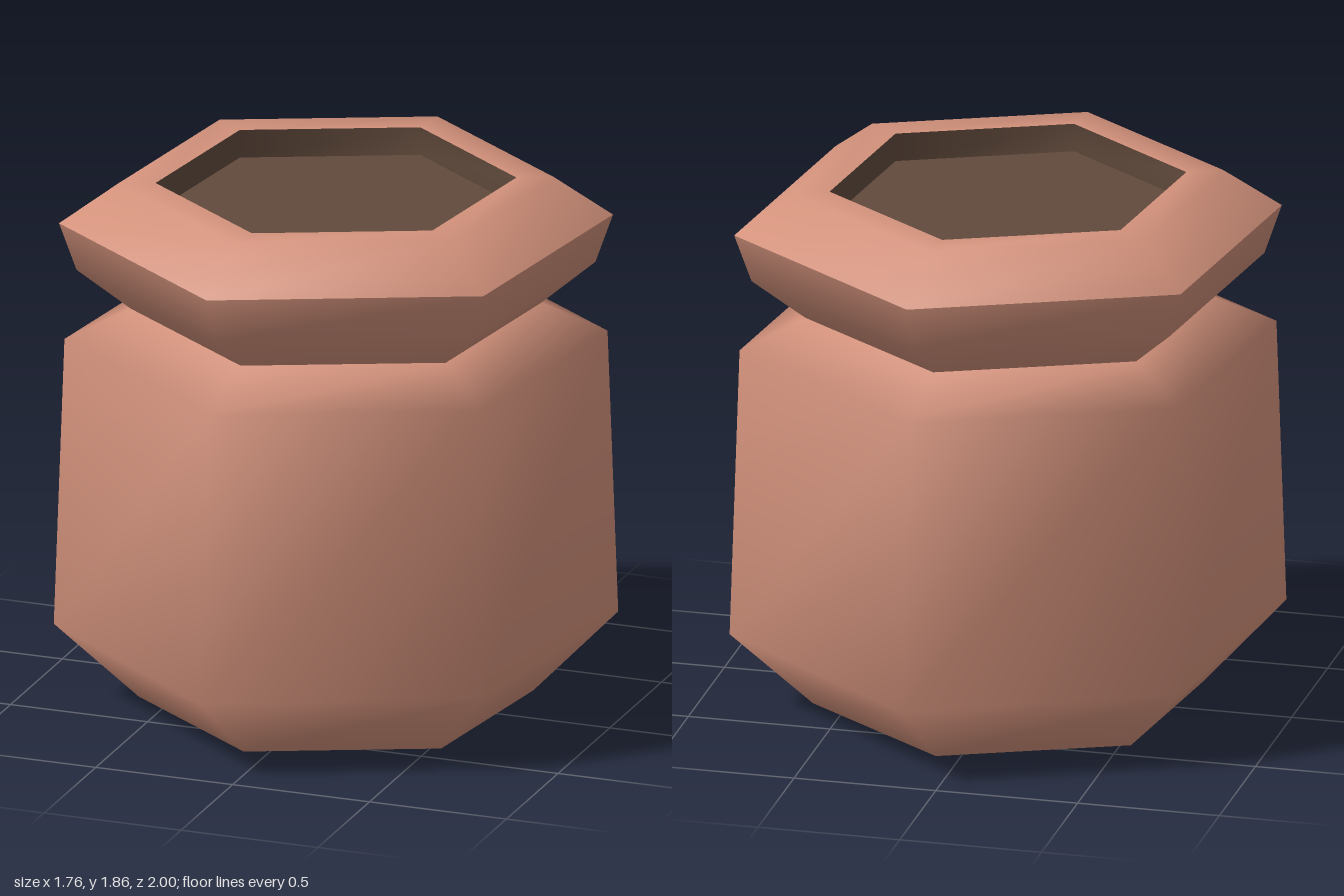
import * as THREE from 'three';

// Unit hexagon seen from above as [x, z], slightly turned, ordered front to right
const half = [[-0.136, 1], [0.864, 0.6], [1, -0.4]];
const HEX = [...half, ...half.map(([x, z]) => [-x, -z])];

function build(pos, idx) {
  const g = new THREE.BufferGeometry();
  g.setAttribute('position', new THREE.Float32BufferAttribute(pos, 3));
  g.setIndex(idx);
  g.computeVertexNormals();
  return g;
}

const ringPoints = ([y, w, d]) => HEX.flatMap(([x, z]) => [x * w, y, z * d]);

// Smooth six-sided band through rings given as [y, half width, half depth]
function band(rings) {
  const idx = [];
  for (let r = 0; r < rings.length - 1; r++) {
    for (let i = 0; i < 6; i++) {
      const a = r * 6 + i, b = r * 6 + (i + 1) % 6;
      idx.push(a, b, b + 6, a, b + 6, a + 6);
    }
  }
  return build(rings.flatMap(ringPoints), idx);
}

// Flat hexagonal face, looking up or down
function cap(ring, up) {
  const idx = [];
  for (let i = 1; i < 5; i++) idx.push(0, up ? i : i + 1, up ? i + 1 : i);
  return build(ringPoints(ring), idx);
}

export function createModel() {
  const group = new THREE.Group();
  group.name = 'pot';
  const clay = new THREE.MeshStandardMaterial({ color: 0xd2917b });
  clay.name = 'clay';
  const soil = new THREE.MeshStandardMaterial({ color: 0x614a3c });
  soil.name = 'dark soil';

  const add = (name, geometry, material) => {
    const mesh = new THREE.Mesh(geometry, material);
    mesh.name = name;
    group.add(mesh);
  };

  const base = [0, 0.62, 0.67];
  const neck = [1.405, 0.645, 0.69];
  const rimEdge = [1.72, 0.87, 0.94];
  const opening = [1.86, 0.567, 0.61];
  const floor = [1.76, 0.567, 0.61];

  // Pot body with its flat underside
  add('base', cap(base, false), clay);
  add('body', band([base, [0.275, 0.88, 1], [1.3, 0.853, 0.92], neck]), clay);

  // Flared collar and bevelled rim
  add('collar', band([neck, [1.55, 0.815, 0.88], rimEdge]), clay);
  add('rim', band([rimEdge, [1.86, 0.685, 0.735], opening]), clay);

  // Shallow recess: inward-facing wall and sunken filling
  add('recessWall', band([opening, floor]), soil);
  add('filling', cap(floor, true), soil);

  return group;
}
